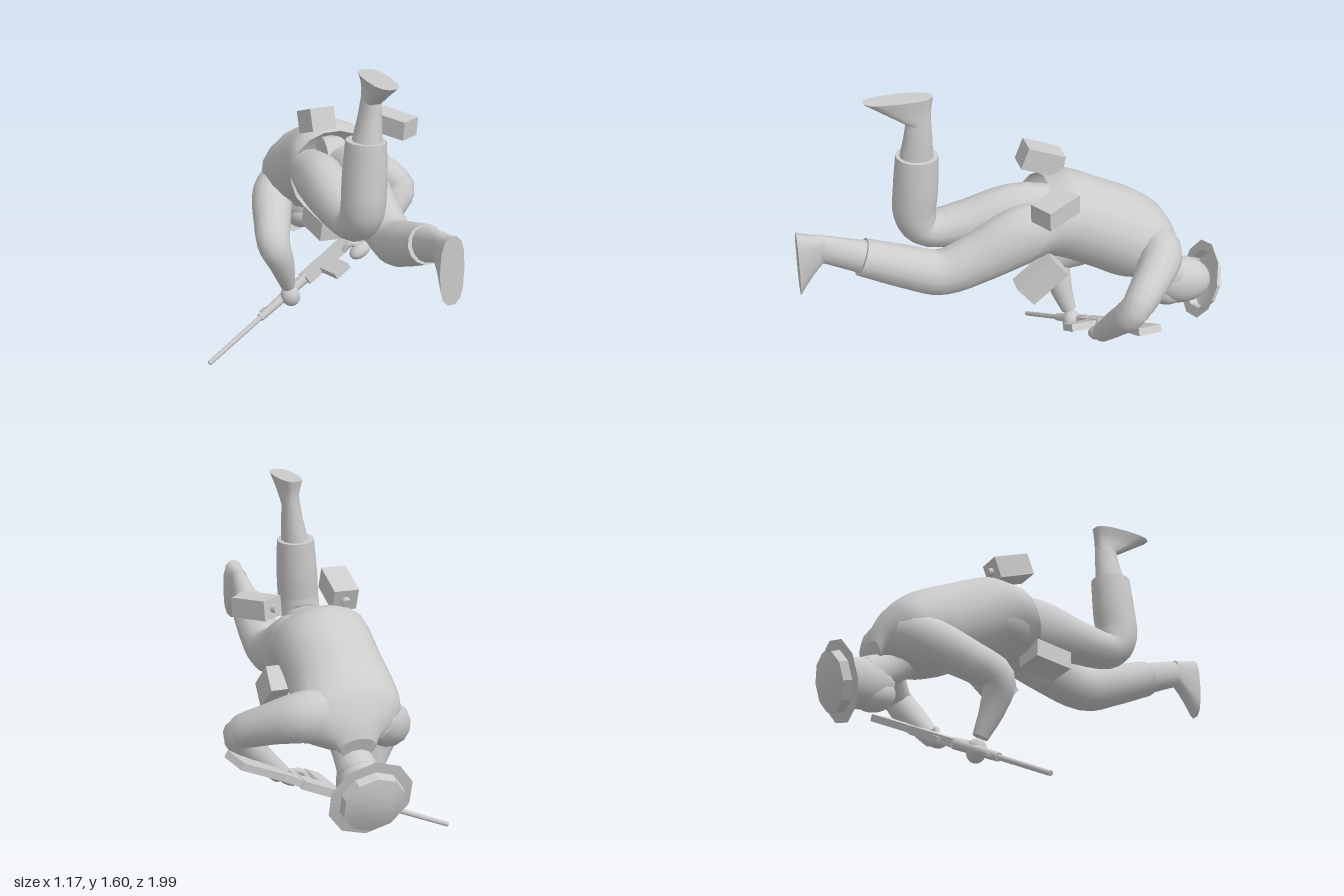
import * as THREE from 'three';
import { toCreasedNormals } from 'three/addons/utils/BufferGeometryUtils.js';

const grey = new THREE.MeshStandardMaterial({ color: 0xcccccc, side: THREE.DoubleSide });
grey.name = 'plain grey';

function part(parent, name, geometry, pos = [0, 0, 0], rot = [0, 0, 0]) {
  const mesh = new THREE.Mesh(geometry, grey);
  mesh.name = name;
  mesh.position.set(...pos);
  mesh.rotation.set(...rot);
  parent.add(mesh);
  return mesh;
}

// Smooth skin over rounded sections [x, y, z, radiusAlongRef, otherRadius]; power below 1 squares them off
function loft(sections, { ref = [1, 0, 0], dir = null, sides = 14, steps = 4, caps = [true, true], power = 1 } = {}) {
  const spline = (f) => new THREE.CatmullRomCurve3(sections.map(f), false, 'catmullrom', 0.5);
  const path = spline((s) => new THREE.Vector3(s[0], s[1], s[2]));
  const radii = spline((s) => new THREE.Vector3(s[3], s[4] ?? s[3], 0));
  const squared = (v) => Math.sign(v) * Math.abs(v) ** power;
  const n = (sections.length - 1) * steps;
  const verts = [], index = [], rings = [];
  for (let i = 0; i <= n; i++) {
    const c = path.getPoint(i / n), r = radii.getPoint(i / n);
    const t = dir ? new THREE.Vector3(...dir).normalize() : path.getTangent(i / n);
    const side = new THREE.Vector3(...ref);
    side.addScaledVector(t, -side.dot(t)).normalize();
    const up = t.clone().cross(side);
    const ring = [];
    for (let j = 0; j < sides; j++) {
      const a = (j / sides) * Math.PI * 2;
      ring.push(c.clone().addScaledVector(side, squared(Math.cos(a)) * r.x).addScaledVector(up, squared(Math.sin(a)) * r.y));
    }
    rings.push({ c, ring });
    ring.forEach((p) => verts.push(p.x, p.y, p.z));
  }
  for (let i = 0; i < n; i++) {
    for (let j = 0; j < sides; j++) {
      const a = i * sides + j, b = i * sides + ((j + 1) % sides);
      index.push(a, b, a + sides, b, b + sides, a + sides);
    }
  }
  // Flat end caps with their own corners
  [rings[0], rings[n]].forEach(({ c, ring }, end) => {
    if (!caps[end]) return;
    const base = verts.length / 3;
    [c, ...ring].forEach((p) => verts.push(p.x, p.y, p.z));
    for (let j = 0; j < sides; j++) {
      const a = base + 1 + j, b = base + 1 + ((j + 1) % sides);
      index.push(base, ...(end ? [a, b] : [b, a]));
    }
  });
  const g = new THREE.BufferGeometry();
  g.setAttribute('position', new THREE.Float32BufferAttribute(verts, 3));
  g.setIndex(index);
  g.computeVertexNormals();
  return g;
}

function ball(parent, name, pos, radii, rot) {
  return part(parent, name, new THREE.SphereGeometry(1, 16, 12).scale(...radii), pos, rot);
}

function box(x0, x1, y0, y1, depth) {
  return new THREE.BoxGeometry(x1 - x0, y1 - y0, depth).translate((x0 + x1) / 2, (y0 + y1) / 2, 0);
}

function rod(x0, x1, r0, r1, sides = 8) {
  return new THREE.CylinderGeometry(r1, r0, x1 - x0, sides).rotateZ(-Math.PI / 2).translate((x0 + x1) / 2, 0, 0);
}

function buildBody(g) {
  // Jacket, open at the hem
  part(g, 'jacket', loft([
    [0.03, 0.96, -0.075, 0.235, 0.205],
    [0.045, 0.985, -0.2, 0.222, 0.2],
    [0.055, 0.91, -0.38, 0.22, 0.2],
    [0.07, 0.845, -0.52, 0.235, 0.2],
    [0.085, 0.8, -0.63, 0.24, 0.165],
    [0.095, 0.77, -0.69, 0.195, 0.12],
    [0.095, 0.74, -0.735, 0.115, 0.075],
    [0.09, 0.7, -0.755, 0.08, 0.055],
  ], { dir: [0, -0.36, -0.93], sides: 18, caps: [false, true] }));
  // Neck and head
  part(g, 'neck', loft([[0.09, 0.72, -0.6, 0.09], [0.09, 0.65, -0.67, 0.08], [0.092, 0.59, -0.77, 0.09]]));
  ball(g, 'head', [0.092, 0.55, -0.8], [0.1, 0.118, 0.16], [-0.2, 0, 0]);
  ball(g, 'jaw', [0.092, 0.505, -0.735], [0.08, 0.075, 0.1], [-0.3, 0, 0]);
  // Brimmed hat, its crown pointing along the head
  const profile = [[0.19, 0], [0.142, 0.004], [0.138, 0.045], [0.065, 0.066], [0, 0.068]];
  const hat = new THREE.LatheGeometry(profile.map((p) => new THREE.Vector2(...p)), 10);
  const hatMesh = part(g, 'hat', toCreasedNormals(hat, 0.5), [0.092, 0.535, -0.905]);
  hatMesh.quaternion.setFromUnitVectors(new THREE.Vector3(0, 1, 0), new THREE.Vector3(0, -0.28, -0.96).normalize());
}

function buildLegs(g) {
  // Right leg, shin raised
  part(g, 'rightTrouser', loft([
    [-0.065, 0.95, -0.2, 0.1, 0.11],
    [-0.07, 0.95, -0.02, 0.112, 0.135],
    [-0.075, 0.92, 0.2, 0.105, 0.105],
    [-0.07, 0.915, 0.38, 0.095, 0.085],
    [-0.065, 1.0, 0.44, 0.098, 0.098],
    [-0.055, 1.14, 0.435, 0.098, 0.102],
    [-0.045, 1.31, 0.425, 0.088, 0.097],
  ]));
  part(g, 'rightAnkle', loft([[-0.045, 1.28, 0.43, 0.068, 0.08], [-0.028, 1.4, 0.422, 0.052, 0.065], [-0.02, 1.5, 0.417, 0.04, 0.055]]));
  part(g, 'rightShoe', loft([
    [-0.02, 1.48, 0.417, 0.04, 0.053], [-0.02, 1.545, 0.465, 0.042, 0.105], [-0.025, 1.603, 0.505, 0.055, 0.155],
  ], { dir: [0, 1, 0], power: 0.75 }));
  // Left leg, stretched back
  part(g, 'leftTrouser', loft([
    [0.11, 0.95, -0.2, 0.1, 0.11],
    [0.118, 0.93, -0.02, 0.112, 0.145],
    [0.12, 0.845, 0.18, 0.105, 0.125],
    [0.12, 0.79, 0.36, 0.1, 0.108],
    [0.115, 0.84, 0.52, 0.1, 0.1],
    [0.11, 0.92, 0.72, 0.085, 0.088],
  ]));
  part(g, 'leftAnkle', loft([[0.11, 0.91, 0.69, 0.068, 0.08], [0.1, 0.955, 0.82, 0.052, 0.07], [0.095, 0.985, 0.91, 0.04, 0.064]]));
  part(g, 'leftShoe', loft([
    [0.095, 0.985, 0.88, 0.04, 0.06], [0.095, 0.95, 0.945, 0.045, 0.105], [0.095, 0.917, 1.0, 0.055, 0.155],
  ], { dir: [0, 0, 1], power: 0.75 }));
}

function buildArms(g) {
  const ref = [0, 0, 1];
  part(g, 'rightSleeve', loft([
    [-0.02, 0.78, -0.64, 0.095, 0.1],
    [-0.12, 0.715, -0.56, 0.1, 0.105],
    [-0.185, 0.635, -0.4, 0.09, 0.092],
    [-0.22, 0.565, -0.285, 0.075, 0.08],
    [-0.18, 0.45, -0.285, 0.06, 0.062],
    [-0.135, 0.31, -0.325, 0.036, 0.036],
  ], { ref }));
  ball(g, 'rightHand', [-0.12, 0.25, -0.335], [0.048, 0.056, 0.045], [0, 0, 0.4]);
  part(g, 'leftSleeve', loft([
    [0.17, 0.82, -0.63, 0.1, 0.12],
    [0.29, 0.82, -0.625, 0.1, 0.115],
    [0.41, 0.775, -0.54, 0.085, 0.092],
    [0.51, 0.7, -0.43, 0.07, 0.075],
    [0.43, 0.59, -0.38, 0.06, 0.062],
    [0.3, 0.455, -0.35, 0.045, 0.045],
  ], { ref }));
  ball(g, 'leftHand', [0.26, 0.43, -0.35], [0.065, 0.035, 0.045], [0, 0.3, 0.5]);
  part(g, 'leftFingers', loft([[0.26, 0.45, -0.35, 0.018], [0.21, 0.46, -0.37, 0.016], [0.18, 0.42, -0.38, 0.012]], { ref, sides: 8 }));
}

function buildRifle(g) {
  // Local x runs from muzzle to butt, local y is the top of the rifle
  const rifle = new THREE.Group();
  rifle.name = 'rifle';
  const x = new THREE.Vector3(0.86, 0.4525, -0.2375).normalize();
  const y = new THREE.Vector3(-0.21, -0.11, -0.97);
  y.addScaledVector(x, -y.dot(x)).normalize();
  rifle.quaternion.setFromRotationMatrix(new THREE.Matrix4().makeBasis(x, y, x.clone().cross(y)));
  rifle.position.set(-0.58, 0.014, -0.233);
  part(rifle, 'barrel', rod(0, 0.42, 0.012, 0.013));
  part(rifle, 'frontSight', box(0.37, 0.4, 0, 0.045, 0.012));
  part(rifle, 'handguard', rod(0.34, 0.66, 0.02, 0.027));
  part(rifle, 'receiver', box(0.64, 0.96, -0.045, 0.032, 0.04));
  part(rifle, 'rearSight', box(0.72, 0.78, 0.03, 0.05, 0.02));
  part(rifle, 'magazine', box(0.725, 0.815, -0.18, -0.03, 0.034));
  part(rifle, 'grip', box(0.93, 0.975, -0.12, -0.03, 0.03));
  const outline = [[0.93, 0.02], [1.05, 0.0], [1.3, 0.012], [1.315, -0.115], [1.26, -0.105], [1.03, -0.05], [0.93, -0.04]];
  const stock = new THREE.ExtrudeGeometry(new THREE.Shape(outline.map((p) => new THREE.Vector2(...p))), { depth: 0.034, bevelEnabled: false });
  part(rifle, 'stock', stock.translate(0, 0, -0.017));
  g.add(rifle);
}

function buildPouches(g) {
  // [name, centre, size, rotation, has a stopper]
  const pouches = [
    ['leftCanteen', [0.325, 1.165, -0.11], [0.115, 0.09, 0.19], [0.1, 0.55, -0.08], true],
    ['rearCanteen', [-0.05, 1.22, -0.145], [0.115, 0.105, 0.185], [-0.36, 0, 0], true],
    ['leftPouch', [0.238, 0.765, -0.07], [0.095, 0.12, 0.21], [0.7, 0, 0], false],
    ['rightPouch', [-0.08, 0.785, 0.035], [0.14, 0.09, 0.19], [0.1, 0.1, -0.1], false],
  ];
  for (const [name, pos, size, rot, stopper] of pouches) {
    const pouch = part(g, name, new THREE.BoxGeometry(...size), pos, rot);
    if (stopper) part(pouch, 'stopper', new THREE.CylinderGeometry(0.02, 0.02, 0.03, 8).rotateX(Math.PI / 2), [0, 0, -size[2] / 2 - 0.01]);
  }
}

export function createModel() {
  const figure = new THREE.Group();
  figure.name = 'crawlingFigure';
  [buildBody, buildLegs, buildArms, buildRifle, buildPouches].forEach((build) => build(figure));
  return figure;
}
